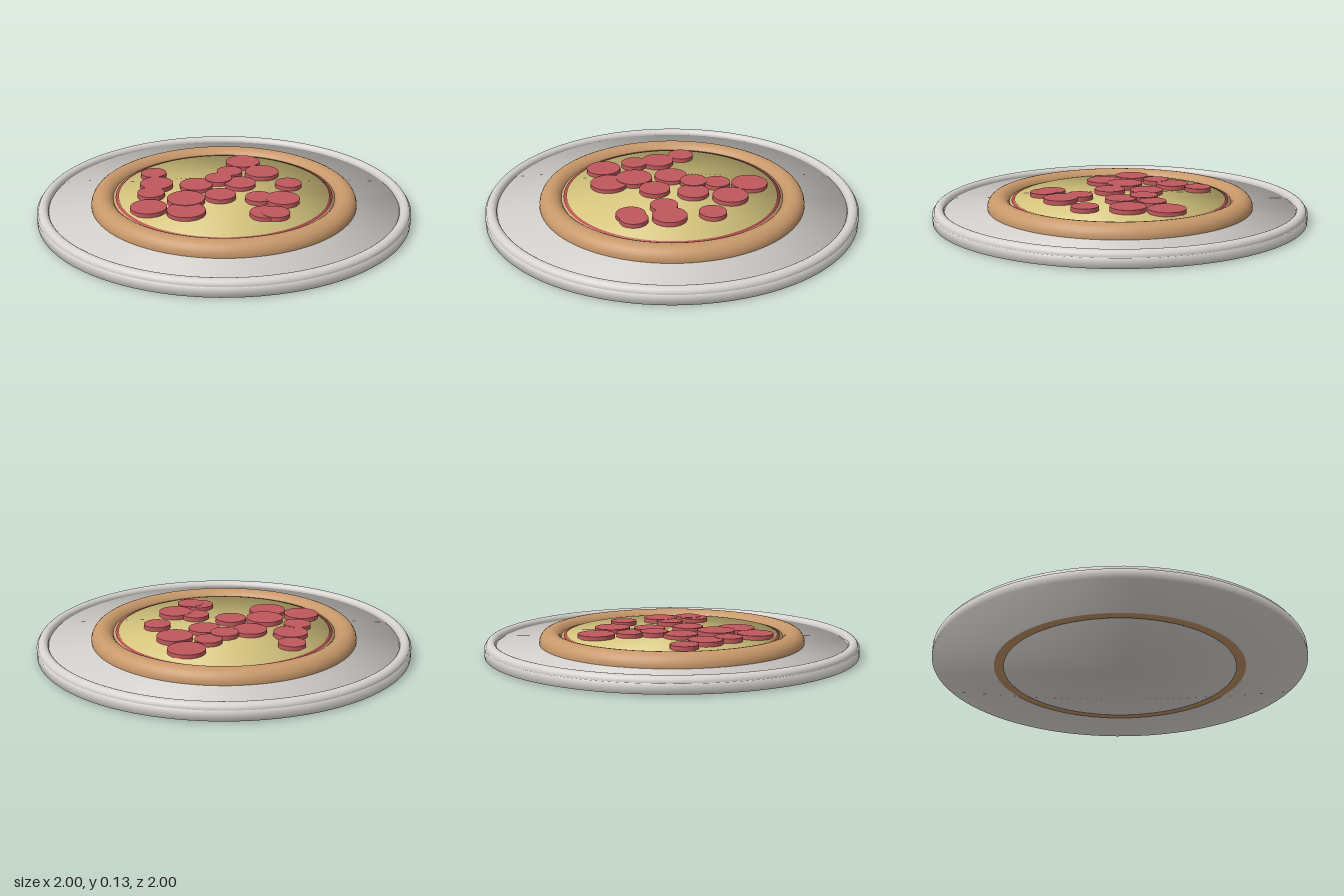
import * as THREE from 'three';

const mat = (name, color, side = THREE.FrontSide) => {
  const m = new THREE.MeshStandardMaterial({ color, side });
  m.name = name;
  return m;
};

// Solid disc whose normals roll softly from the centre over the edge
function softDisc(radius, bottom, top) {
  const profile = [[0, bottom], [radius, bottom], [radius, top], [0, top]]
    .map(([x, y]) => new THREE.Vector2(x, y));
  const geo = new THREE.LatheGeometry(profile, 96);
  const pos = geo.attributes.position, nor = geo.attributes.normal;
  const mid = (bottom + top) / 2;
  for (let i = 0; i < pos.count; i++) {
    const x = pos.getX(i) / radius, z = pos.getZ(i) / radius;
    const up = pos.getY(i) > mid ? 1 : -1;
    const edge = Math.hypot(x, z) > 0.5;
    nor.setXYZ(i, edge ? x * 0.87 : 0, edge ? up * 0.49 : up, edge ? z * 0.87 : 0);
  }
  return geo;
}

function ring(radius, tube, y) {
  return new THREE.TorusGeometry(radius, tube, 24, 96).rotateX(Math.PI / 2).translate(0, y, 0);
}

export function createModel() {
  const model = new THREE.Group();
  model.name = 'pizzaOnPlate';

  const plateGrey = mat('plate grey', 0xd6d3cf);
  const crustBrown = mat('crust brown', 0xc8986a);
  const doughTan = mat('dough tan', 0xd2ae78);
  const sauceRed = mat('sauce red', 0xbf5256);
  const cheeseYellow = mat('cheese yellow', 0xdccb82);
  const pepperoniRed = mat('pepperoni red', 0xc0585c);

  const add = (name, geo, material, parent = model) => {
    const mesh = new THREE.Mesh(geo, material);
    mesh.name = name;
    parent.add(mesh);
    return mesh;
  };

  // Plate
  add('plate', softDisc(1, 0.006, 0.055), plateGrey);
  add('plateRim', ring(0.965, 0.028, 0.057), plateGrey);

  // Pizza layers
  add('crust', ring(0.652, 0.0625, 0.0625), crustBrown);
  add('dough', softDisc(0.605, 0.03, 0.092), doughTan);
  add('sauce', softDisc(0.584, 0.05, 0.096), sauceRed);
  add('cheese', softDisc(0.569, 0.06, 0.1), cheeseYellow);

  // Pepperoni slices: x, z, radius
  const slices = [
    [0.155, -0.40, 0.098], [0.06, -0.25, 0.072], [0.24, -0.22, 0.095],
    [-0.015, -0.145, 0.075], [0.098, -0.075, 0.085], [-0.37, -0.27, 0.072],
    [-0.36, -0.11, 0.09], [-0.395, 0.025, 0.073], [-0.145, -0.075, 0.09],
    [0.36, -0.035, 0.072], [-0.215, 0.12, 0.1], [-0.03, 0.09, 0.083],
    [-0.225, 0.27, 0.1], [-0.415, 0.21, 0.095], [0.17, 0.145, 0.073],
    [0.29, 0.18, 0.09], [0.17, 0.34, 0.077], [0.225, 0.35, 0.073],
  ];
  const pepperoni = new THREE.Group();
  pepperoni.name = 'pepperoni';
  model.add(pepperoni);
  slices.forEach(([x, z, r], i) => {
    const slice = add(`pepperoniSlice${i + 1}`, new THREE.CylinderGeometry(r, r, 0.024, 40), pepperoniRed, pepperoni);
    // Small height steps keep overlapping slices apart
    slice.position.set(x, 0.109 + (i % 4) * 0.0015, z);
  });

  return model;
}
